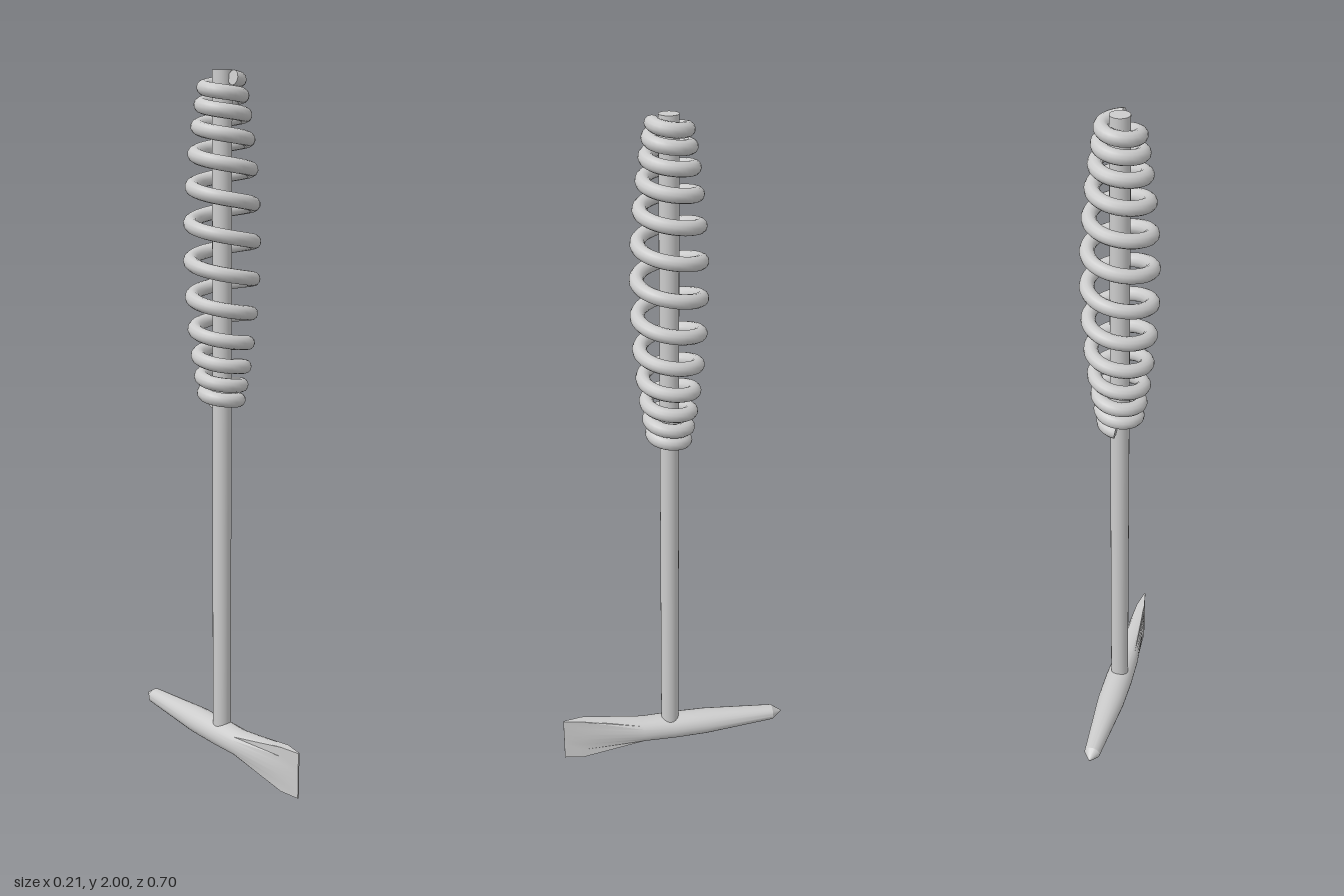
import * as THREE from 'three';
import { toCreasedNormals } from 'three/addons/utils/BufferGeometryUtils.js';

const ROD_Z = 0.013;
const HEAD_Y = 0.073;
const WIRE = 0.02;
const HALF_TURNS = 6.25;

// Spring grip: coils bulge and spread towards the middle, close up at the ends
class SpringCurve extends THREE.Curve {
  getPoint(u, target = new THREE.Vector3()) {
    const t = (u * 2 - 1) * HALF_TURNS;
    const d = 0.0712 * t + 0.063 * Math.sin(Math.PI * t / HALF_TURNS);
    const r = 0.087 - 0.043 * (d / 0.445) ** 2;
    const a = t * Math.PI * 2;
    return target.set(r * Math.cos(a), 1.53 + d, ROD_Z + r * Math.sin(a));
  }
}

// Loft along z; each section is [z, centreY, halfWidth, halfHeight, squareness]
function loft(sections, n = 24) {
  const pos = [], idx = [];
  for (const [z, y, w, h, sq] of sections) {
    for (let i = 0; i < n; i++) {
      const a = i / n * Math.PI * 2, c = Math.cos(a), s = Math.sin(a);
      const k = 1 + sq * (1 / Math.max(Math.abs(c), Math.abs(s)) - 1);
      pos.push(w * c * k, y + h * s * k, z);
    }
  }
  for (let j = 0; j < sections.length - 1; j++) {
    for (let i = 0; i < n; i++) {
      const a = j * n + i, b = j * n + (i + 1) % n;
      idx.push(a, b, b + n, a, b + n, a + n);
    }
  }
  const g = new THREE.BufferGeometry();
  g.setAttribute('position', new THREE.Float32BufferAttribute(pos, 3));
  g.setIndex(idx);
  return toCreasedNormals(g, 0.42);
}

export function createModel() {
  const group = new THREE.Group();
  const material = new THREE.MeshStandardMaterial({ color: 0xcccccc });
  const add = (name, geometry, parent = group) => {
    const mesh = new THREE.Mesh(geometry, material);
    mesh.name = name;
    parent.add(mesh);
    return mesh;
  };

  // Head: pointed pick at the back, round body, upright chisel blade in front
  add('hammerHead', loft([
    [-0.349, HEAD_Y, 0, 0, 0],
    [-0.349, HEAD_Y, 0.002, 0.002, 0],
    [-0.318, HEAD_Y, 0.024, 0.023, 0],
    [-0.1, HEAD_Y, 0.042, 0.038, 0],
    [0.0, HEAD_Y, 0.043, 0.04, 0],
    [0.1, HEAD_Y, 0.039, 0.04, 0],
    [0.29, 0.07, 0.013, 0.069, 1],
    [0.349, 0.07, 0.002, 0.07, 1],
    [0.349, 0.07, 0, 0, 1],
  ]));

  // Handle rod, sunk into the head
  const rodBottom = 0.08, rodTop = 1.995;
  add('handleRod', new THREE.CylinderGeometry(0.027, 0.027, rodTop - rodBottom, 24))
    .position.set(0, (rodBottom + rodTop) / 2, ROD_Z);

  // Spring grip with closed wire ends
  const grip = new THREE.Group();
  grip.name = 'springGrip';
  group.add(grip);
  const curve = new SpringCurve();
  curve.arcLengthDivisions = 2000;
  add('springCoil', new THREE.TubeGeometry(curve, 480, WIRE, 12), grip);
  for (const u of [0, 1]) {
    const cap = add('springEnd', new THREE.CircleGeometry(WIRE, 12), grip);
    const p = curve.getPoint(u);
    const out = curve.getTangent(u).multiplyScalar(u ? 1 : -1);
    cap.position.copy(p);
    cap.lookAt(p.clone().add(out));
  }
  return group;
}
